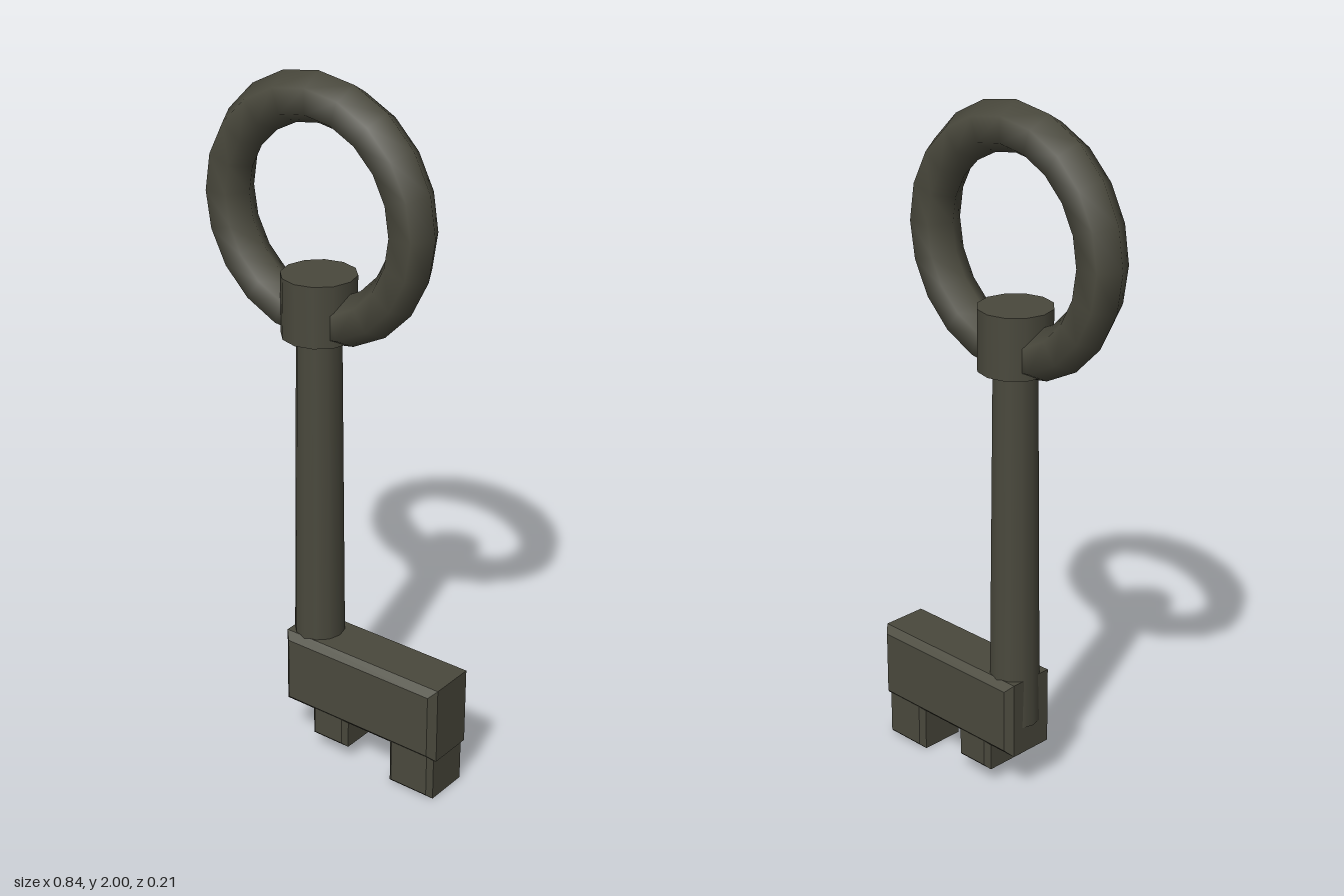
import * as THREE from 'three';

const AXIS_X = -0.045; // the shaft sits left of centre, the bit extends to +x

export function createModel() {
  const group = new THREE.Group();
  const iron = new THREE.MeshStandardMaterial({ color: 0x4a493d });
  iron.name = 'dark iron';

  const add = (name, geometry, x, y, z = 0) => {
    const mesh = new THREE.Mesh(geometry, iron);
    mesh.name = name;
    mesh.position.set(x, y, z);
    group.add(mesh);
    return mesh;
  };

  // Block with chamfered front and back faces
  const addBlock = (name, x0, x1, y0, y1, halfDepth, chamfer) => {
    const w = (x1 - x0) / 2 - chamfer;
    const h = (y1 - y0) / 2 - chamfer;
    const shape = new THREE.Shape([
      new THREE.Vector2(-w, -h), new THREE.Vector2(w, -h),
      new THREE.Vector2(w, h), new THREE.Vector2(-w, h),
    ]);
    const depth = 2 * (halfDepth - chamfer);
    const geometry = new THREE.ExtrudeGeometry(shape, {
      depth, bevelEnabled: true, bevelSegments: 1,
      bevelSize: chamfer, bevelThickness: chamfer,
    });
    geometry.translate(0, 0, -depth / 2);
    add(name, geometry, (x0 + x1) / 2, (y0 + y1) / 2);
  };

  // Handle ring with a six-sided section
  add('handleRing', new THREE.TorusGeometry(0.306, 0.069, 6, 20), AXIS_X, 1.625);

  // Collar joining the ring to the shaft
  add('collar', new THREE.CylinderGeometry(0.105, 0.105, 0.175, 12), AXIS_X, 1.3625);

  // Shaft, slightly wider at the bottom
  add('shaft', new THREE.CylinderGeometry(0.063, 0.074, 1.1, 12), AXIS_X, 0.76);

  // Bit and its two teeth
  addBlock('bit', -0.11, 0.42, 0.13, 0.36, 0.088, 0.02);
  addBlock('smallTooth', -0.015, 0.11, 0.047, 0.17, 0.08, 0.014);
  addBlock('largeTooth', 0.26, 0.41, 0, 0.17, 0.08, 0.014);

  return group;
}
